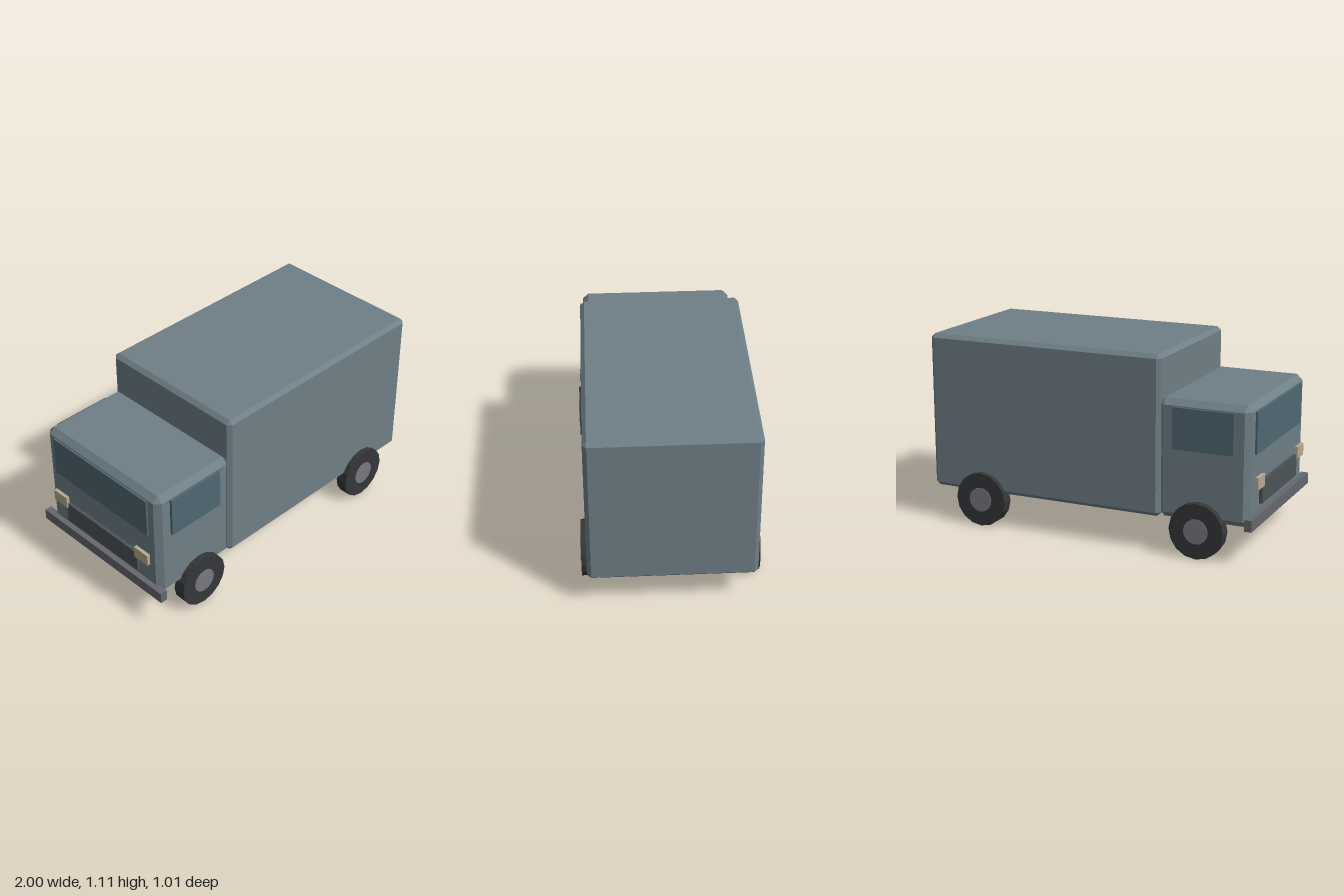
import * as THREE from 'three';
import { ConvexGeometry } from 'three/addons/geometries/ConvexGeometry.js';

const paint = (color) => new THREE.MeshStandardMaterial({ color, flatShading: true });

// Box with every edge bevelled by c, given its min and max corners
function bevelBox(min, max, c) {
  const half = max.map((v, i) => (v - min[i]) / 2);
  const points = [];
  for (const sx of [-1, 1]) for (const sy of [-1, 1]) for (const sz of [-1, 1]) {
    for (let face = 0; face < 3; face++) {
      const p = [sx, sy, sz].map((s, i) => s * (half[i] - (i === face ? 0 : c)));
      points.push(new THREE.Vector3(...p));
    }
  }
  return new ConvexGeometry(points).translate(...min.map((v, i) => v + half[i]));
}

// Plain box given its min and max corners
function box(min, max) {
  const size = max.map((v, i) => v - min[i]);
  return new THREE.BoxGeometry(...size).translate(...min.map((v, i) => v + size[i] / 2));
}

export function createModel() {
  const truck = new THREE.Group();
  truck.name = 'boxTruck';
  const bodyPaint = paint(0x6f7f86);
  const glass = paint(0x4f6772);
  const rubber = paint(0x343638);
  const steel = paint(0x777881);
  const bumperPaint = paint(0x66676e);
  const grillePaint = paint(0x4b5459);
  const lampPaint = paint(0xb5aa8c);

  const add = (name, geometry, material, parent = truck) => {
    const mesh = new THREE.Mesh(geometry, material);
    mesh.name = name;
    parent.add(mesh);
    return mesh;
  };

  // Cargo box and cab
  add('cargoBox', bevelBox([-0.45, 0.198, -0.467], [1, 1.112, 0.467], 0.023), bodyPaint);
  add('cab', bevelBox([-0.968, 0.2, -0.456], [-0.431, 0.875, 0.456], 0.034), bodyPaint);

  // Front end of the cab
  add('windshield', box([-0.98, 0.6, -0.38], [-0.95, 0.835, 0.38]), glass);
  add('grille', box([-0.988, 0.302, -0.295], [-0.96, 0.43, 0.295]), grillePaint);
  add('bumper', box([-1, 0.2, -0.495], [-0.957, 0.265, 0.495]), bumperPaint);

  for (const side of [1, -1]) {
    const label = side > 0 ? 'left' : 'right';

    // Side window and headlight
    const pane = add(label + 'Window', new THREE.BoxGeometry(0.355, 0.235, 0.03), glass);
    pane.position.set(-0.702, 0.718, side * 0.456);
    const lamp = add(label + 'Headlight', new THREE.BoxGeometry(0.02, 0.07, 0.107), lampPaint);
    lamp.position.set(-0.987, 0.439, side * 0.338);

    // Wheels: tyre with a slightly proud hub
    for (const [end, x] of [['Front', -0.68], ['Rear', 0.669]]) {
      const wheel = new THREE.Group();
      wheel.name = label + end + 'Wheel';
      wheel.position.set(x, 0.159, side * 0.4625);
      add('tyre', new THREE.CylinderGeometry(0.159, 0.159, 0.071, 16).rotateX(Math.PI / 2), rubber, wheel);
      add('hub', new THREE.CylinderGeometry(0.0715, 0.0715, 0.05, 16).rotateX(Math.PI / 2), steel, wheel)
        .position.z = side * 0.0155;
      truck.add(wheel);
    }
  }
  return truck;
}
